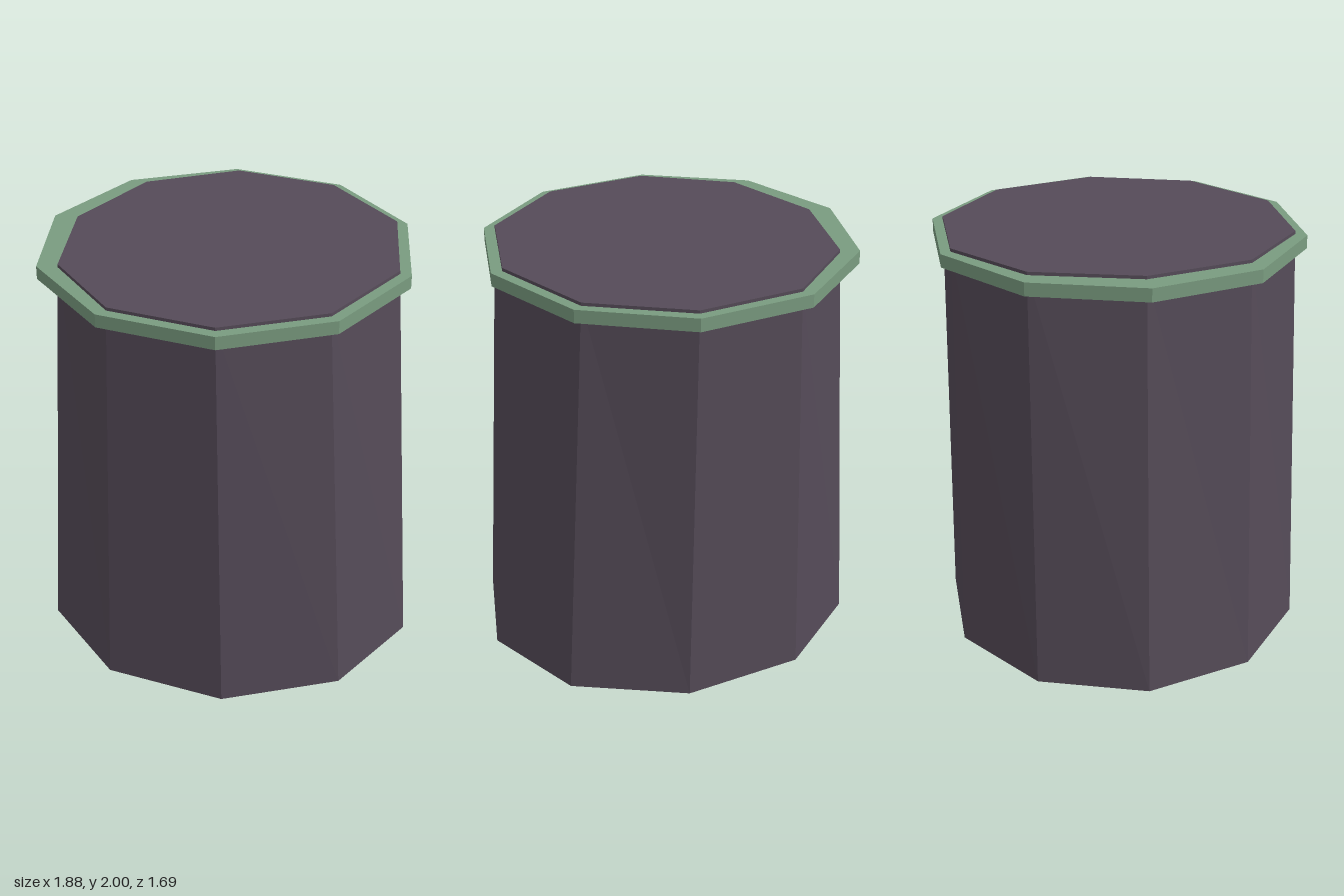
import * as THREE from 'three';

// Closed solid between two horizontal [x, z] outlines, ordered from +x towards +z
function loft(lower, y0, upper, y1) {
  const pos = [];
  const at = (p, y) => [p[0], y, p[1]];
  const n = lower.length;
  for (let i = 0; i < n; i++) {
    const j = (i + 1) % n;
    const a0 = at(lower[i], y0), b0 = at(lower[j], y0);
    const a1 = at(upper[i], y1), b1 = at(upper[j], y1);
    pos.push(...a0, ...a1, ...b1, ...a0, ...b1, ...b0);
    pos.push(0, y1, 0, ...b1, ...a1, 0, y0, 0, ...a0, ...b0);
  }
  const geometry = new THREE.BufferGeometry();
  geometry.setAttribute('position', new THREE.Float32BufferAttribute(pos, 3));
  geometry.computeVertexNormals(); // unshared corners give flat faces
  return geometry;
}

// Ten-sided outline: right/left x of the three rows, then z of the front and back rows
function outline([r0, r1, r2], [l0, l1, l2], [f1, f2], [b1, b2]) {
  return [
    [r0, 0], [r1, f1], [r2, f2], [l2, f2], [l1, f1],
    [l0, 0], [l1, b1], [l2, b2], [r2, b2], [r1, b1],
  ];
}

export function createModel() {
  const group = new THREE.Group();
  const bodyColour = new THREE.MeshStandardMaterial({ color: 0x554b58 });
  bodyColour.name = 'dusky purple';
  const rimColour = new THREE.MeshStandardMaterial({ color: 0x7a9c80 });
  rimColour.name = 'sage green';

  const add = (name, geometry, material) => {
    const mesh = new THREE.Mesh(geometry, material);
    mesh.name = name;
    group.add(mesh);
  };

  // Tapered body, slightly irregular
  const foot = outline([0.935, 0.755, 0.27], [-0.94, -0.77, -0.32], [0.515, 0.845], [-0.505, -0.815]);
  const top = outline([0.805, 0.645, 0.23], [-0.795, -0.655, -0.275], [0.495, 0.795], [-0.5, -0.8]);
  add('body', loft(foot, 0, top, 2), bodyColour);

  // Band just below the top, set off a little to one side
  const band = outline([0.86, 0.69, 0.25], [-0.915, -0.75, -0.305], [0.523, 0.845], [-0.523, -0.847]);
  add('rim', loft(band, 1.922, band, 1.985), rimColour);

  return group;
}
